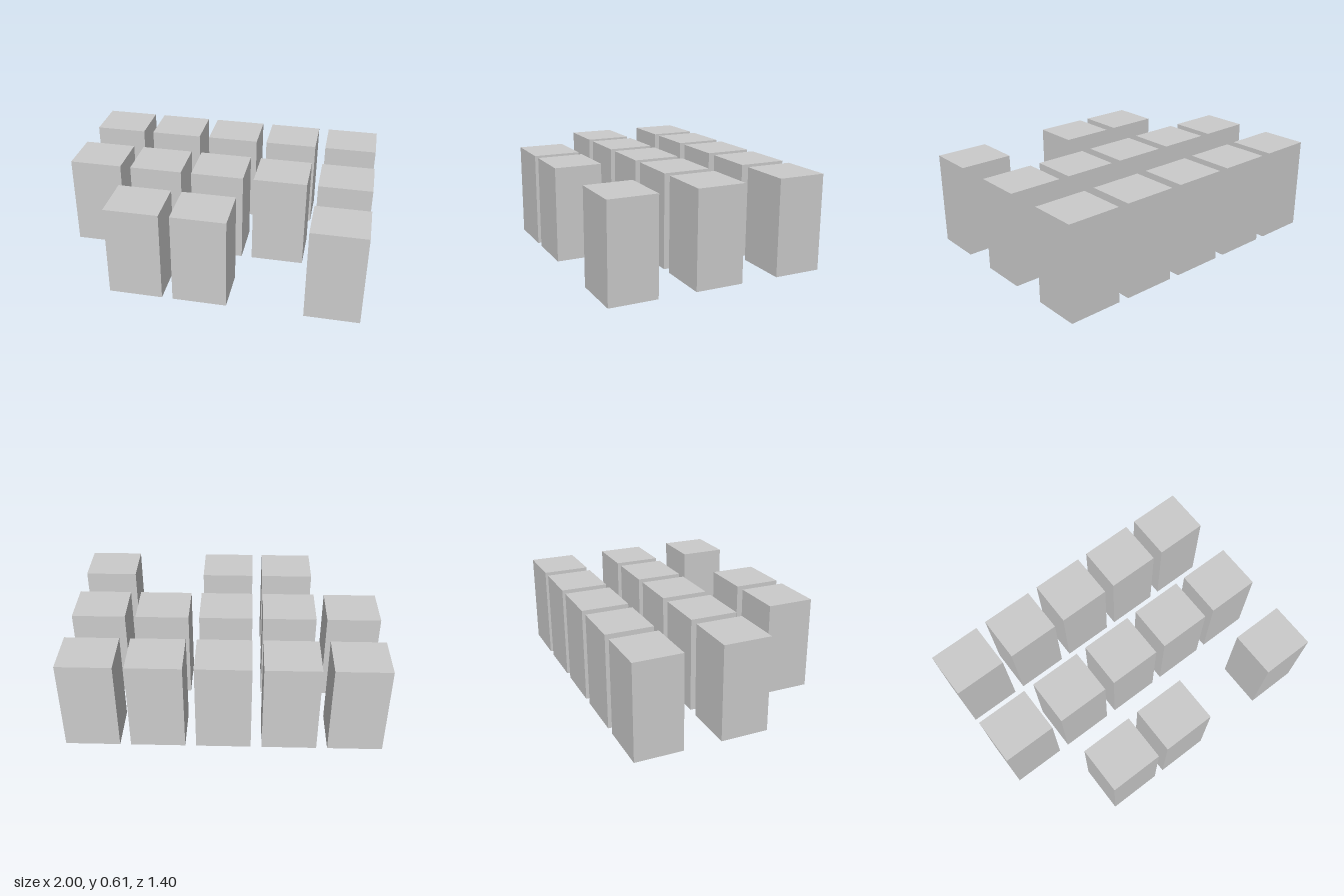
import * as THREE from 'three';

const WIDTH = 0.345, HEIGHT = 0.608, DEPTH = 0.306;
const PITCH_X = 0.4138, PITCH_Z = 0.547;

// Rows from back to front; '#' is a block, '.' an empty place
const LAYOUT = [
  '#####',
  '#####',
  '.##.#',
];
const ROW_NAMES = ['backRow', 'middleRow', 'frontRow'];

export function createModel() {
  const model = new THREE.Group();
  model.name = 'blockGrid';
  const material = new THREE.MeshStandardMaterial({ color: 0xcccccc, flatShading: true });
  const geometry = new THREE.BoxGeometry(WIDTH, HEIGHT, DEPTH);
  geometry.translate(0, HEIGHT / 2, 0); // stand on the ground

  LAYOUT.forEach((cells, r) => {
    const row = new THREE.Group();
    row.name = ROW_NAMES[r];
    row.position.z = (r - 1) * PITCH_Z;
    [...cells].forEach((cell, c) => {
      if (cell !== '#') return;
      const block = new THREE.Mesh(geometry, material);
      block.name = `block${c + 1}`;
      block.position.x = (c - 2) * PITCH_X;
      row.add(block);
    });
    model.add(row);
  });
  return model;
}
